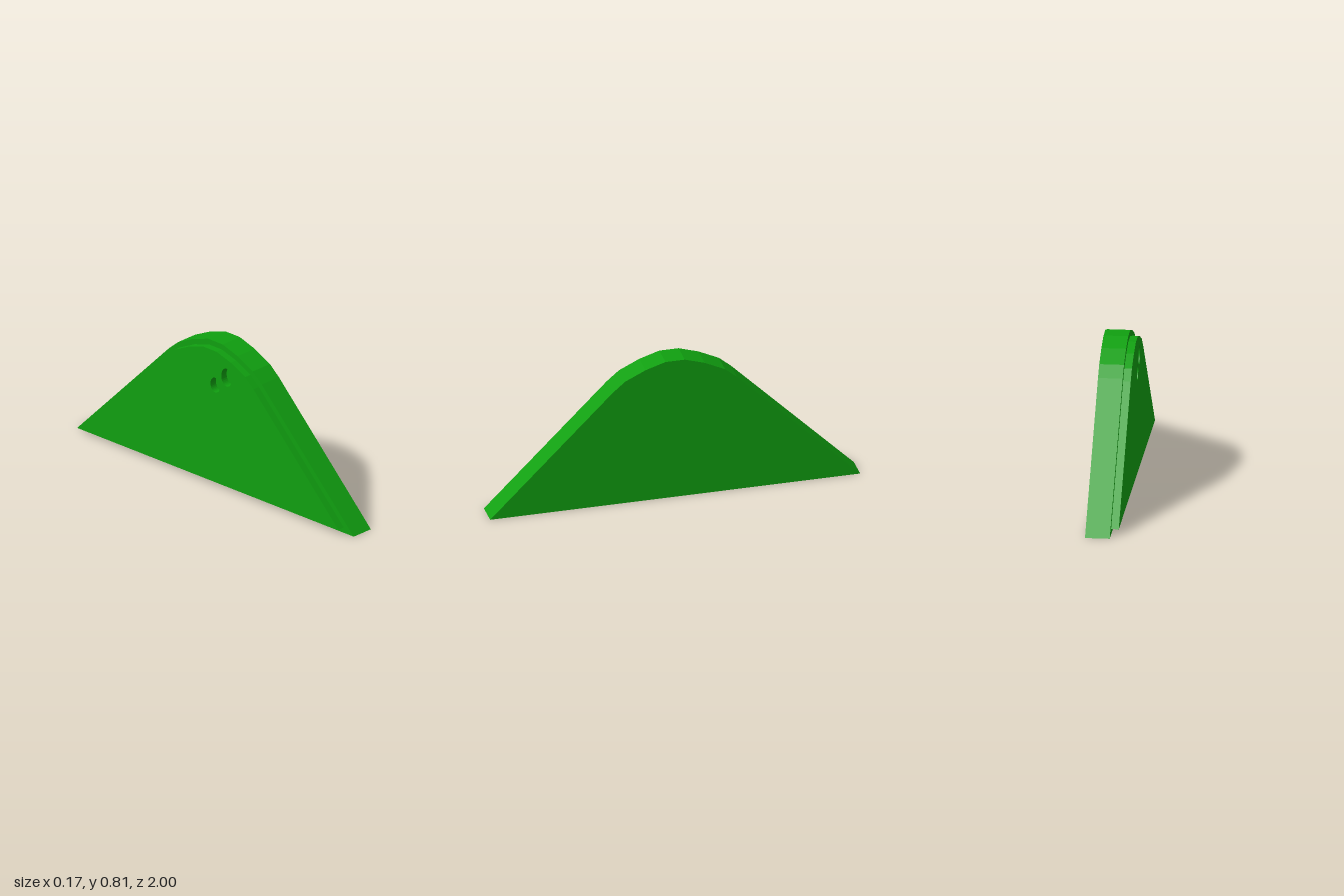
import * as THREE from 'three';

const material = new THREE.MeshStandardMaterial({ color: 0x10a010, flatShading: true });

// Right half of a profile (bottom corner to crown), mirrored into a closed shape
function mirroredShape(half) {
  const left = half.map(([u, v]) => [-u, v]).reverse();
  return new THREE.Shape([...half, ...left].map(([u, v]) => new THREE.Vector2(u, v)));
}

// Extrude a profile across x, from x0 to x1 (shape u runs along -z)
function slab(name, shape, x0, x1) {
  const geometry = new THREE.ExtrudeGeometry(shape, { depth: x1 - x0, bevelEnabled: false, curveSegments: 16 });
  geometry.rotateY(Math.PI / 2).translate(x0, 0, 0);
  const mesh = new THREE.Mesh(geometry, material);
  mesh.name = name;
  return mesh;
}

export function createModel() {
  const group = new THREE.Group();
  group.name = 'roundedWedge';

  // Thick main body
  const body = mirroredShape([[1, 0], [0.335, 0.665], [0.27, 0.72], [0.16, 0.773], [0.052, 0.807]]);
  group.add(slab('body', body, -0.045, 0.085));

  // Thin inset plate with two oval recesses
  const plate = mirroredShape([[0.928, 0.03], [0.314, 0.644], [0.254, 0.695], [0.15, 0.745], [0.047, 0.776]]);
  for (const [z, y, rz, ry] of [[0.119, 0.65, 0.038, 0.051], [0.037, 0.582, 0.034, 0.042]]) {
    plate.holes.push(new THREE.Path().absellipse(-z, y, rz, ry, 0, Math.PI * 2, true));
  }
  group.add(slab('facePlate', plate, -0.085, -0.045));

  return group;
}
